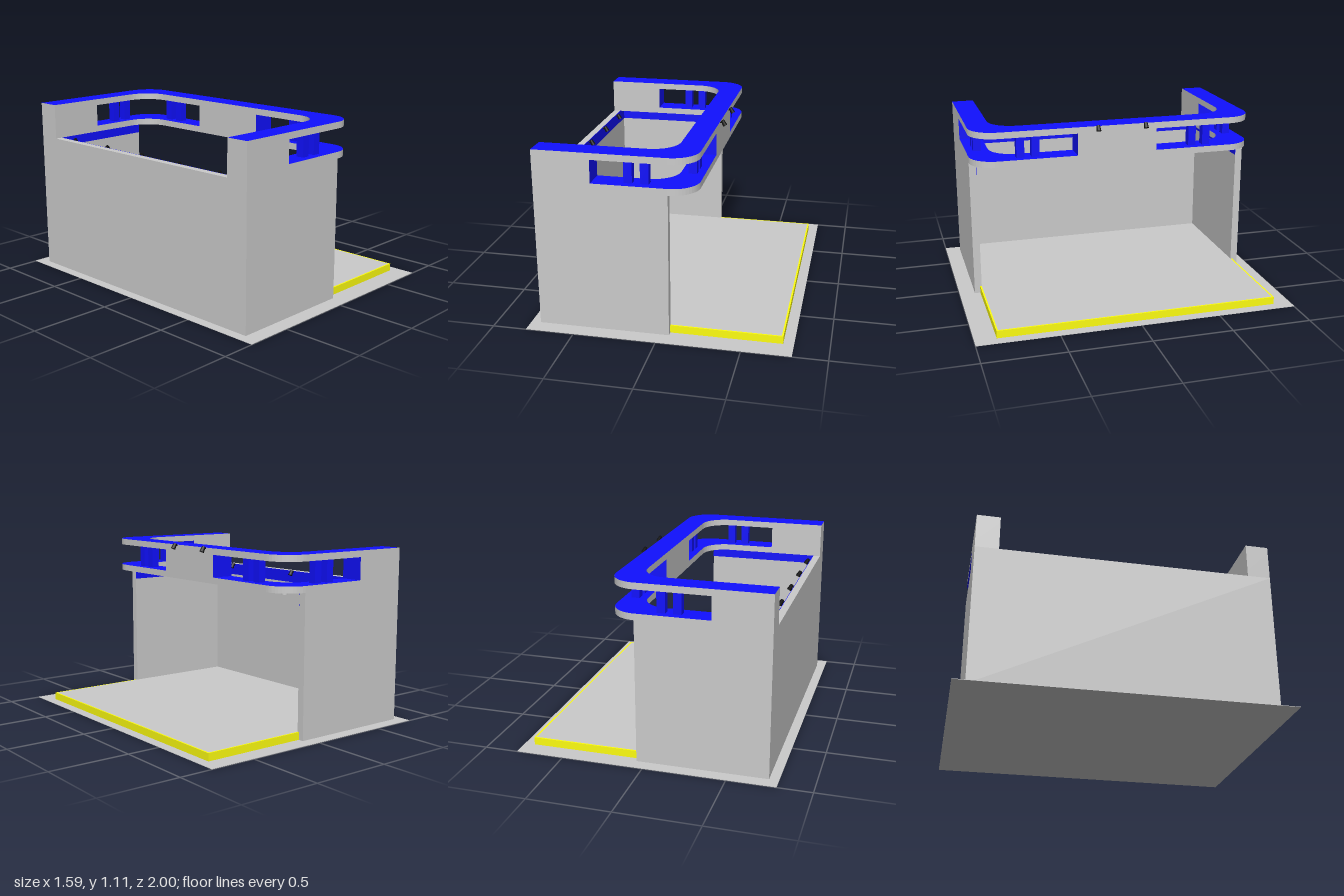
import * as THREE from 'three';

const mat = (color) => new THREE.MeshStandardMaterial({ color });

export function createModel() {
  const model = new THREE.Group();
  const grey = mat(0xcccccc), blue = mat(0x1010ff), yellow = mat(0xffff10), black = mat(0x111111);

  // The booth sits slightly behind the middle of the floor
  const booth = new THREE.Group();
  booth.name = 'booth';
  booth.position.z = -0.01;
  model.add(booth);

  // Box given by its limits on each axis
  function box(name, x0, x1, y0, y1, z0, z1, material, parent = booth) {
    const mesh = new THREE.Mesh(new THREE.BoxGeometry(x1 - x0, y1 - y0, z1 - z0), material);
    mesh.position.set((x0 + x1) / 2, (y0 + y1) / 2, (z0 + z1) / 2);
    mesh.name = name;
    parent.add(mesh);
    return mesh;
  }

  const BACK = -0.735, FRONT = 0.06;      // wall ends along x
  const OUT = 0.913, IN = 0.77;           // canopy band half widths along z
  const WALL_IN = 0.867, WALL_TOP = 0.88;
  const NOSE = 0.217, NOSE_IN = 0.073;    // front beam faces along x

  // Ground sheet
  box('groundSheet', -0.793, 0.793, 0, 0.003, -1, 1, grey, model);

  // Raised floor with a yellow edge
  box('raisedFloor', -0.69, 0.72, 0.003, 0.05, -0.868, 0.868, grey);
  box('frontEdging', 0.72, 0.73, 0.003, 0.05, -0.878, 0.878, yellow);

  // Walls, with a blue strip round the inside of the top
  box('backWall', BACK, -0.69, 0.003, WALL_TOP, -OUT, OUT, grey);
  box('backStrip', -0.69, -0.687, 0.8, WALL_TOP, -WALL_IN, WALL_IN, blue);
  for (const s of [-1, 1]) {
    const span = (a, b) => [Math.min(s * a, s * b), Math.max(s * a, s * b)];
    box('sideWall', -0.69, FRONT, 0.003, WALL_TOP, ...span(WALL_IN, OUT), grey);
    box('sideStrip', -0.69, FRONT, 0.8, WALL_TOP, ...span(WALL_IN - 0.003, WALL_IN), blue);
    box('sideEdging', FRONT, 0.72, 0.003, 0.05, ...span(0.868, 0.878), yellow);
    // Solid rear of the canopy, its window end blue
    box('canopyRear', BACK, -0.39, 0.92, 1.06, ...span(IN, OUT), [blue, grey, blue, blue, grey, grey]);
    // Pairs of posts in the side and front windows
    for (const x of [-0.182, -0.085]) {
      box('sidePost', x - 0.025, x + 0.025, 0.92, 1.06, ...span(0.817, 0.866), blue);
    }
    for (const z of [0.512, 0.607]) {
      box('frontPost', 0.12, 0.17, 0.92, 1.06, ...span(z - 0.025, z + 0.025), blue);
    }
  }
  box('canopyFront', NOSE_IN, NOSE, 0.92, 1.06, -0.255, 0.255, [grey, grey, blue, blue, blue, blue]);

  // U-shaped canopy slabs with rounded corners
  const R = 0.16;
  const u = new THREE.Shape();
  u.moveTo(BACK, -OUT);
  u.lineTo(NOSE - R, -OUT);
  u.absarc(NOSE - R, -OUT + R, R, -Math.PI / 2, 0, false);
  u.lineTo(NOSE, OUT - R);
  u.absarc(NOSE - R, OUT - R, R, 0, Math.PI / 2, false);
  u.lineTo(BACK, OUT);
  u.lineTo(BACK, IN);
  u.lineTo(NOSE_IN - R, IN);
  u.absarc(NOSE_IN - R, IN - R, R, Math.PI / 2, 0, true);
  u.lineTo(NOSE_IN, -IN + R);
  u.absarc(NOSE_IN - R, -IN + R, R, 0, -Math.PI / 2, true);
  u.lineTo(BACK, -IN);
  u.closePath();
  const slab = new THREE.ExtrudeGeometry(u, { depth: 0.04, bevelEnabled: false, curveSegments: 6 });
  slab.rotateX(-Math.PI / 2);
  for (const [name, y] of [['canopyLower', WALL_TOP], ['canopyUpper', 1.06]]) {
    const mesh = new THREE.Mesh(slab, [blue, grey]);
    mesh.name = name;
    mesh.position.y = y;
    booth.add(mesh);
  }

  // Small tilted spotlight on a short arm; it sticks out towards +x
  function spotlight(x, y, z) {
    const lamp = new THREE.Group();
    lamp.name = 'spotlight';
    const arm = new THREE.Mesh(new THREE.CylinderGeometry(0.005, 0.005, 0.025, 8), black);
    arm.rotation.z = Math.PI / 2;
    arm.position.x = 0.01;
    const head = new THREE.Mesh(new THREE.CylinderGeometry(0.011, 0.015, 0.036, 12), black);
    head.rotation.z = 0.5;
    head.position.set(0.022, -0.004, 0);
    lamp.add(arm, head);
    lamp.position.set(x, y, z);
    booth.add(lamp);
  }
  for (let i = -2; i <= 2; i++) spotlight(-0.687, 0.873, i * 0.325);
  for (const z of [-0.178, 0.128]) spotlight(NOSE, 1.095, z);

  // Downlights under the front beam
  for (let i = -2; i <= 2; i++) {
    const light = new THREE.Mesh(new THREE.CylinderGeometry(0.018, 0.018, 0.01, 16), grey);
    light.name = 'downlight';
    light.position.set(0.145, 0.875, i * 0.415);
    booth.add(light);
  }

  return model;
}
